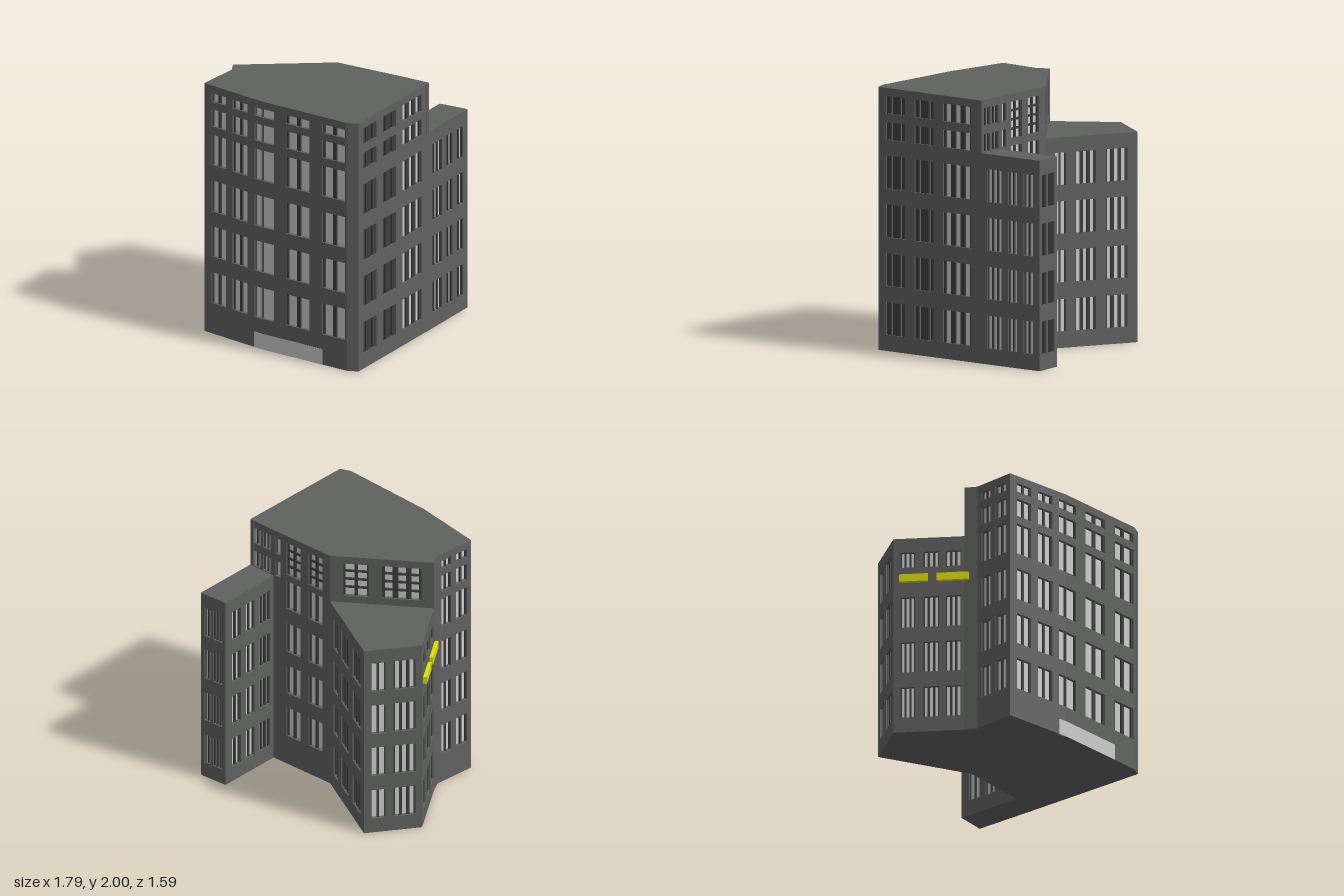
import * as THREE from 'three';
import { mergeGeometries } from 'three/addons/utils/BufferGeometryUtils.js';

const mat = (color) => new THREE.MeshStandardMaterial({ color, side: THREE.DoubleSide });
const wallMat = mat(0x5f615f), frameMat = mat(0x3c3d3c), glassMat = mat(0xcccccc), signMat = mat(0xe0e000);
const DEPTH = 0.03;

// Plan corners [x, z]
const P = {
  a: [-0.575, 0.317], b: [-0.523, 0.403], c: [-0.53, 0.743], d: [0.034, 0.791], e: [0.806, 0.767],
  f: [0.887, 0.729], g: [0.825, -0.254], h: [0.59, -0.235], i: [0.034, -0.18],
  j: [-0.663, -0.487], k: [-0.898, -0.11], l: [0.787, -0.8], m: [0.552, -0.767],
};

// Storey heights [bottom, top]
const tall = [[0.245, 0.495], [0.62, 0.865], [0.985, 1.235], [1.36, 1.605]];
const frontRows = [...tall, [1.67, 1.81], [1.87, 1.94]];
const low = [[0.122, 0.371], [0.495, 0.743], [0.865, 1.115], [1.235, 1.485]];
const attic = [[1.607, 1.74], [1.805, 1.94]];
const sideRows = [...low, ...attic];
const signRows = [...low.slice(0, 3), [1.36, 1.485]];
const gridRow = [[1.66, 1.94]];

// Box spanning two corners
function span(x0, x1, y0, y1, z0, z1) {
  return new THREE.BoxGeometry(x1 - x0, y1 - y0, z1 - z0)
    .translate((x0 + x1) / 2, (y0 + y1) / 2, (z0 + z1) / 2);
}

function addMesh(group, name, geos, material) {
  if (!geos.length) return;
  const mesh = new THREE.Mesh(mergeGeometries(geos), material);
  mesh.name = name;
  group.add(mesh);
}

// Wall between two plan corners, with recessed windows.
// Each column: { s: [start, end], rows, n: panes across, m: panes high, bar: mullion share }
// axis 'x' or 'z' reads s as plan coordinates, 'f' as fractions of the wall.
function makeWall({ name, ends, y0 = 0, y1 = 2, axis = 'f', cols = [], door, sign }) {
  const p = P[ends[0]], q = P[ends[1]];
  const dx = q[0] - p[0], dz = q[1] - p[1], len = Math.hypot(dx, dz);
  const along = (v) => axis === 'f' ? v * len
    : axis === 'x' ? (v - p[0]) / dx * len : (v - p[1]) / dz * len;
  const group = new THREE.Group();
  group.name = name;
  group.position.set(p[0], 0, p[1]);
  group.rotation.y = Math.atan2(-dz, dx);

  const shape = new THREE.Shape([[0, y0], [len, y0], [len, y1], [0, y1]].map((c) => new THREE.Vector2(...c)));
  const glass = [], frames = [];
  for (const { s, rows, n = 2, m = 1, bar = 0.14 } of cols) {
    const u0 = along(s[0]), u1 = along(s[1]), w = u1 - u0;
    for (const [v0, v1] of rows) {
      shape.holes.push(new THREE.Path([[u0, v0], [u0, v1], [u1, v1], [u1, v0]].map((c) => new THREE.Vector2(...c))));
      glass.push(span(u0, u1, v0, v1, -DEPTH - 0.004, -DEPTH + 0.004));
      // Mullions: half width at the jambs, full width between panes
      const t = w * bar;
      for (let k = 0; k <= n; k++) {
        const c = u0 + w * k / n;
        frames.push(span(Math.max(u0, c - t / 2), Math.min(u1, c + t / 2), v0, v1, -DEPTH, -0.012));
      }
      // Transoms
      for (let k = 1; k < m; k++) {
        const c = v0 + (v1 - v0) * k / m;
        frames.push(span(u0, u1, c - 0.008, c + 0.008, -DEPTH, -0.013));
      }
    }
  }
  const wall = new THREE.ExtrudeGeometry(shape, { depth: DEPTH, bevelEnabled: false }).translate(0, 0, -DEPTH);
  addMesh(group, 'wallPanel', [wall], wallMat);
  addMesh(group, 'windowPanes', glass, glassMat);
  addMesh(group, 'windowFrames', frames, frameMat);
  if (door) addMesh(group, 'entrancePanel', [span(along(door[0]), along(door[1]), 0, 0.125, -0.01, 0.002)], glassMat);
  if (sign) addMesh(group, 'blankSign', sign.map((s) => span(along(s[0]), along(s[1]), 1.235, 1.295, 0, 0.028)), signMat);
  return group;
}

// Flat cap over a run of plan corners
function makeCap(name, corners, y) {
  const shape = new THREE.Shape([...corners].map((k) => new THREE.Vector2(P[k][0], -P[k][1])));
  const cap = new THREE.Mesh(new THREE.ShapeGeometry(shape).rotateX(-Math.PI / 2), wallMat);
  cap.name = name;
  cap.position.y = y;
  return cap;
}

// Several columns sharing the same rows: entries are [start, end, panes, bar]
const columns = (rows, ...list) => list.map(([s0, s1, n, bar]) => ({ s: [s0, s1], rows, n, bar }));

export function createModel() {
  const model = new THREE.Group();
  model.name = 'cornerBuilding';
  const walls = [
    // Main block
    { name: 'cornerStrip', ends: 'ab' },
    { name: 'leftWall', ends: 'bc', cols: columns(frontRows, [0.12, 0.4], [0.55, 0.88]) },
    { name: 'frontWallRight', ends: 'cd', axis: 'x', door: [-0.037, 0.034],
      cols: columns(frontRows, [-0.46, -0.318], [-0.25, -0.105], [-0.037, 0.033, 1, 0.1]) },
    { name: 'frontWallLeft', ends: 'de', axis: 'x', door: [0.034, 0.586],
      cols: columns(frontRows, [0.035, 0.148, 1, 0.1], [0.254, 0.474], [0.584, 0.796]) },
    { name: 'frontChamfer', ends: 'ef' },
    { name: 'sideWall', ends: 'fg', axis: 'z',
      cols: columns(sideRows, [0.658, 0.477, 2, 0.4], [0.387, 0.207, 2, 0.4], [0.117, -0.154, 3, 0.15]) },
    { name: 'upperBackWall', ends: 'gh', y0: 1.6, cols: columns(attic, [0.1, 0.43], [0.54, 0.87]) },
    { name: 'backWall', ends: 'hi', cols: [
      ...columns(attic, [0.03, 0.12, 1]),
      ...columns(tall, [0.23, 0.48], [0.62, 0.87]),
      { s: [0.23, 0.48], rows: gridRow, m: 4 }, { s: [0.62, 0.87], rows: gridRow, m: 4 }] },
    { name: 'upperTerraceWall', ends: 'ia', y0: 1.6, cols: [
      { s: [0.13, 0.37], rows: gridRow, m: 4 }, { s: [0.5, 0.88], rows: gridRow, n: 3, m: 4 }] },
    // Narrow rear wing
    { name: 'rearWingOuterWall', ends: 'gl', y1: 1.6, axis: 'z',
      cols: columns(low, [-0.302, -0.442, 3, 0.1], [-0.503, -0.59], [-0.65, -0.738]) },
    { name: 'rearWingEndWall', ends: 'lm', y1: 1.6, cols: columns(low, [0.14, 0.4], [0.5, 0.86, 3]) },
    { name: 'rearWingInnerWall', ends: 'mh', y1: 1.6, cols: columns(low, [0.13, 0.32], [0.43, 0.6], [0.7, 0.92, 3]) },
    // Low angled wing
    { name: 'lowWingBackWall', ends: 'ij', y1: 1.6, cols: columns(low, [0.11, 0.23], [0.33, 0.55, 3], [0.66, 0.89, 3]) },
    { name: 'lowWingEndWall', ends: 'jk', y1: 1.6, cols: columns(low, [0.12, 0.37], [0.51, 0.89, 3]) },
    { name: 'lowWingFrontWall', ends: 'ka', y1: 1.6, axis: 'x', sign: [[-0.87, -0.74], [-0.7, -0.555]],
      cols: columns(signRows, [-0.866, -0.8, 3], [-0.762, -0.69, 3], [-0.66, -0.59, 3]) },
  ];
  walls.forEach((w) => model.add(makeWall(w)));

  // Roofs and underside
  model.add(makeCap('mainRoof', 'abcdefghi', 2));
  model.add(makeCap('lowWingRoof', 'aijk', 1.6));
  model.add(makeCap('rearWingRoof', 'hglm', 1.6));
  model.add(makeCap('baseFloor', 'abcdefglmhijk', 0));
  return model;
}
